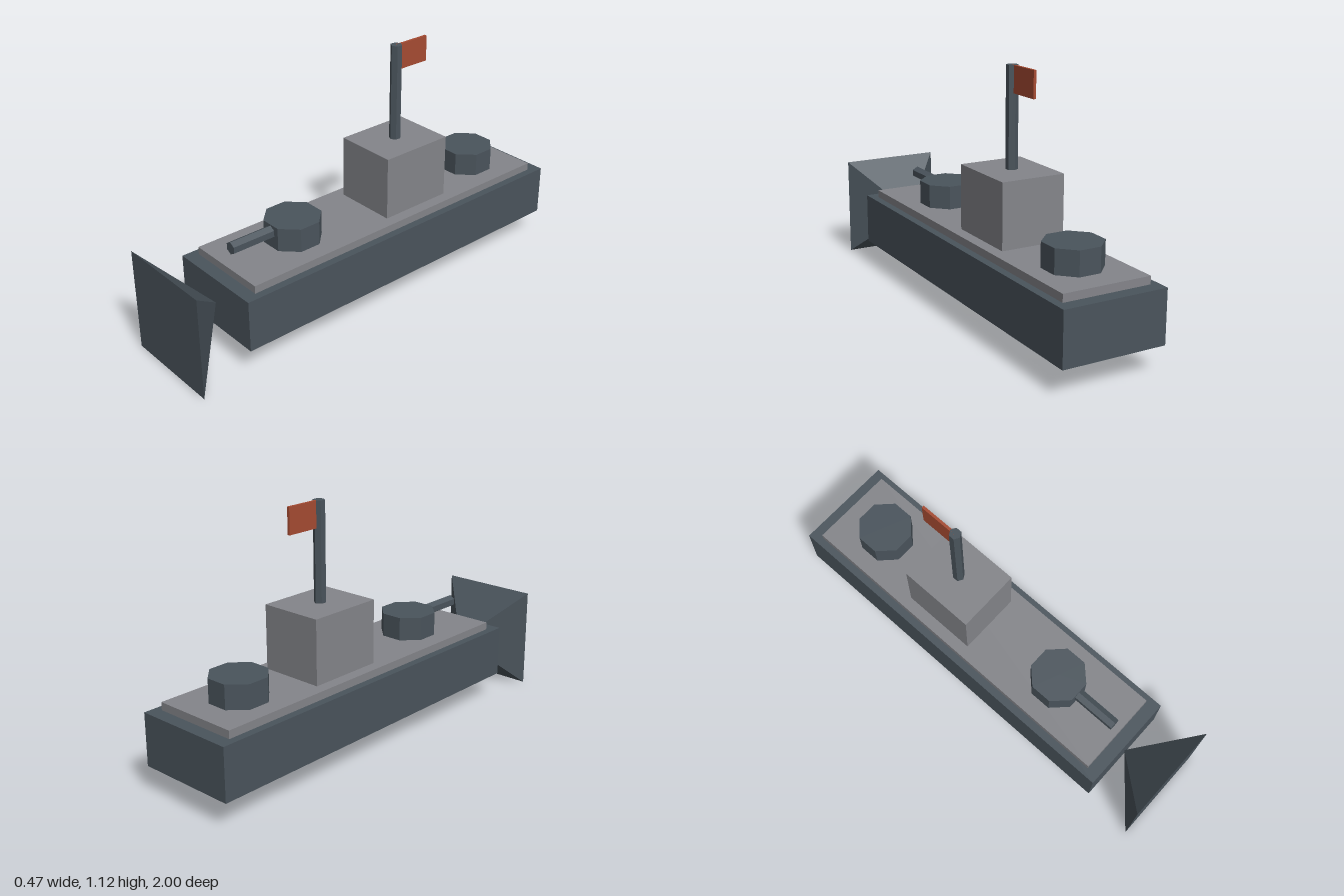
import * as THREE from 'three';

export function createModel() {
  const group = new THREE.Group();
  const material = (name, color) => {
    const m = new THREE.MeshStandardMaterial({ color, flatShading: true });
    m.name = name;
    return m;
  };
  const steel = material('dark steel', 0x4a545c);
  const grey = material('deck grey', 0x84858a);
  const red = material('flag red', 0xa64b32);

  const add = (name, geometry, mat, x, y, z) => {
    const mesh = new THREE.Mesh(geometry, mat);
    mesh.name = name;
    mesh.position.set(x, y, z);
    group.add(mesh);
  };

  // Hull, deck and bridge blocks
  add('hull', new THREE.BoxGeometry(0.47, 0.235, 1.765), steel, 0, 0.235, -0.1175);
  add('deck', new THREE.BoxGeometry(0.4, 0.035, 1.645), grey, 0, 0.37, -0.1175);
  add('bridge', new THREE.BoxGeometry(0.294, 0.29, 0.353), grey, 0, 0.532, -0.235);

  // Four-sided bow, its point touching the hull and its base facing forward
  const bow = new THREE.ConeGeometry(0.235 * Math.SQRT2, 0.235, 4)
    .rotateY(Math.PI / 4)
    .rotateX(-Math.PI / 2);
  add('bow', bow, steel, 0, 0.235, 0.8825);

  // Octagonal gun turrets with flats fore and aft
  for (const [name, z] of [['frontTurret', 0.353], ['rearTurret', -0.706]]) {
    const turret = new THREE.CylinderGeometry(0.128, 0.128, 0.108, 8).rotateY(Math.PI / 8);
    add(name, turret, steel, 0, 0.441, z);
  }

  // Hexagonal gun barrel on the front turret
  const barrel = new THREE.CylinderGeometry(0.0285, 0.0285, 0.3, 6).rotateX(Math.PI / 2);
  add('gunBarrel', barrel, steel, 0, 0.461, 0.527);

  // Mast and flag
  add('mast', new THREE.CylinderGeometry(0.0262, 0.0262, 0.45, 6), steel, 0, 0.893, -0.235);
  add('flag', new THREE.BoxGeometry(0.012, 0.117, 0.175), red, 0, 1.0595, -0.324);

  return group;
}
